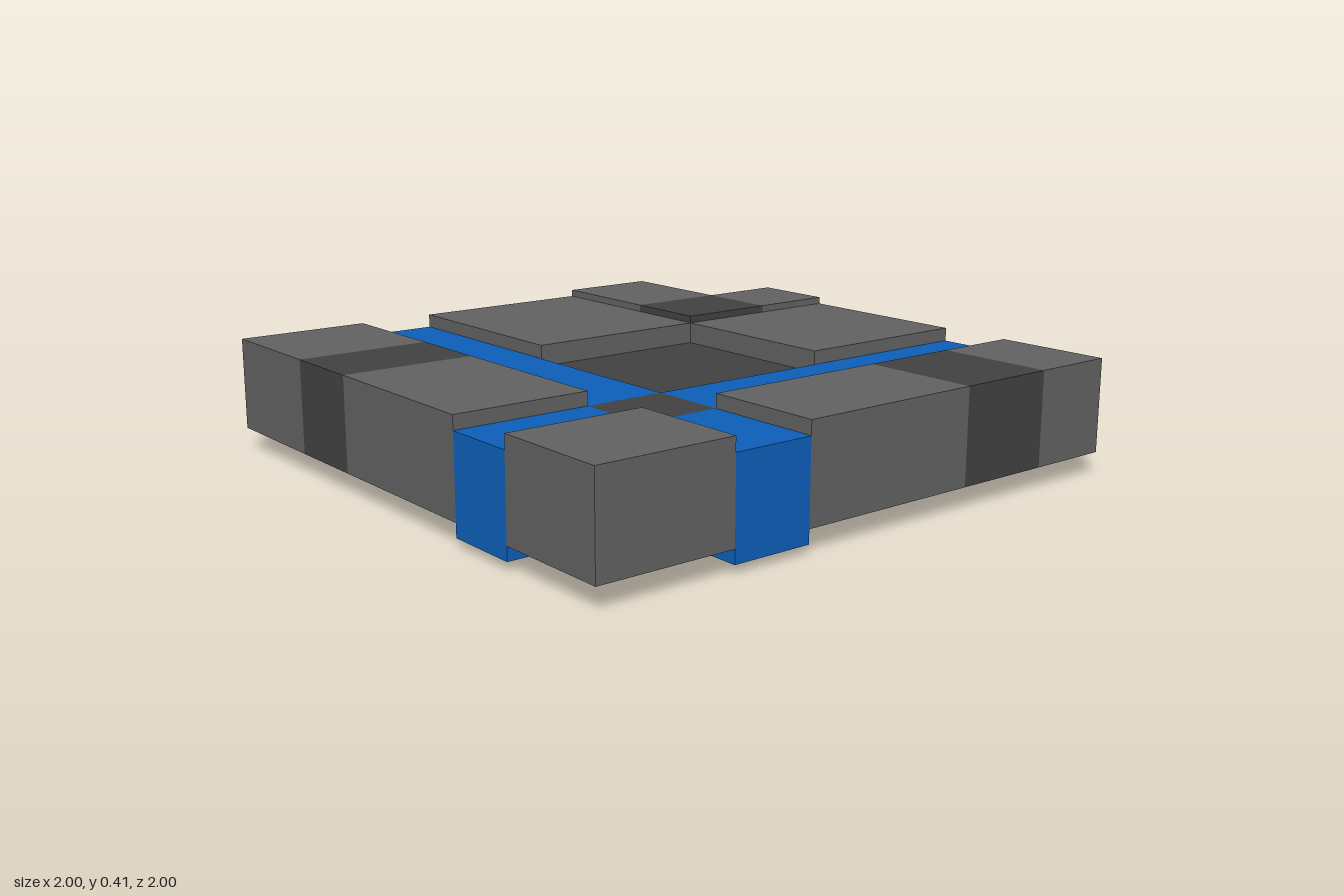
import * as THREE from 'three';

const grey = new THREE.MeshStandardMaterial({ name: 'stone grey', color: 0x606060 });
const dark = new THREE.MeshStandardMaterial({ name: 'dark grey', color: 0x404040 });
const blue = new THREE.MeshStandardMaterial({ name: 'water blue', color: 0x0c5db6 });

// Grid lines shared by every tile
const X = [-1, -0.57, -0.28, 0.35, 0.605, 1];
const Z = [-1, -0.71, -0.365, 0.275, 0.545, 1];

// Vertical ranges: sunken floor, channels, slabs, raised corner
const FLOOR = [0, 0.31], CHANNEL = [0.028, 0.336], SLAB = [0.072, 0.381], RAISED = [0.097, 0.405];

export function createModel() {
  const model = new THREE.Group();
  model.name = 'tiledSlab';

  // One box spanning grid columns i0..i1 and rows k0..k1
  function tile(name, material, [y0, y1], i0, i1, k0, k1) {
    const geometry = new THREE.BoxGeometry(X[i1] - X[i0], y1 - y0, Z[k1] - Z[k0]);
    const mesh = new THREE.Mesh(geometry, material);
    mesh.name = name;
    mesh.position.set((X[i0] + X[i1]) / 2, (y0 + y1) / 2, (Z[k0] + Z[k1]) / 2);
    model.add(mesh);
  }

  // Sunken middle floor with a dark top face
  tile('middleFloor', [grey, grey, dark, grey, grey, grey], FLOOR, 2, 3, 2, 3);

  // Blue channels crossing at a dark square
  tile('channelBack', blue, CHANNEL, 3, 4, 0, 3);
  tile('channelFront', blue, CHANNEL, 3, 4, 4, 5);
  tile('channelRight', blue, CHANNEL, 0, 3, 3, 4);
  tile('channelLeft', blue, CHANNEL, 4, 5, 3, 4);
  tile('channelCrossing', dark, CHANNEL, 3, 4, 3, 4);

  // Plain slabs
  tile('backSlab', grey, SLAB, 2, 3, 0, 2);
  tile('rightSlab', grey, SLAB, 0, 2, 2, 3);
  tile('cornerSlab', grey, SLAB, 4, 5, 4, 5);

  // Front slab with a dark band
  tile('frontSlabEnd', grey, SLAB, 0, 1, 4, 5);
  tile('frontSlabBand', dark, SLAB, 1, 2, 4, 5);
  tile('frontSlab', grey, SLAB, 2, 3, 4, 5);

  // Left slab with a dark band
  tile('leftSlabEnd', grey, SLAB, 4, 5, 0, 1);
  tile('leftSlabBand', dark, SLAB, 4, 5, 1, 2);
  tile('leftSlab', grey, SLAB, 4, 5, 2, 3);

  // Raised L-shaped corner
  tile('raisedRight', grey, RAISED, 0, 1, 1, 2);
  tile('raisedBack', grey, RAISED, 1, 2, 0, 1);
  tile('raisedCrossing', dark, RAISED, 1, 2, 1, 2);

  return model;
}
